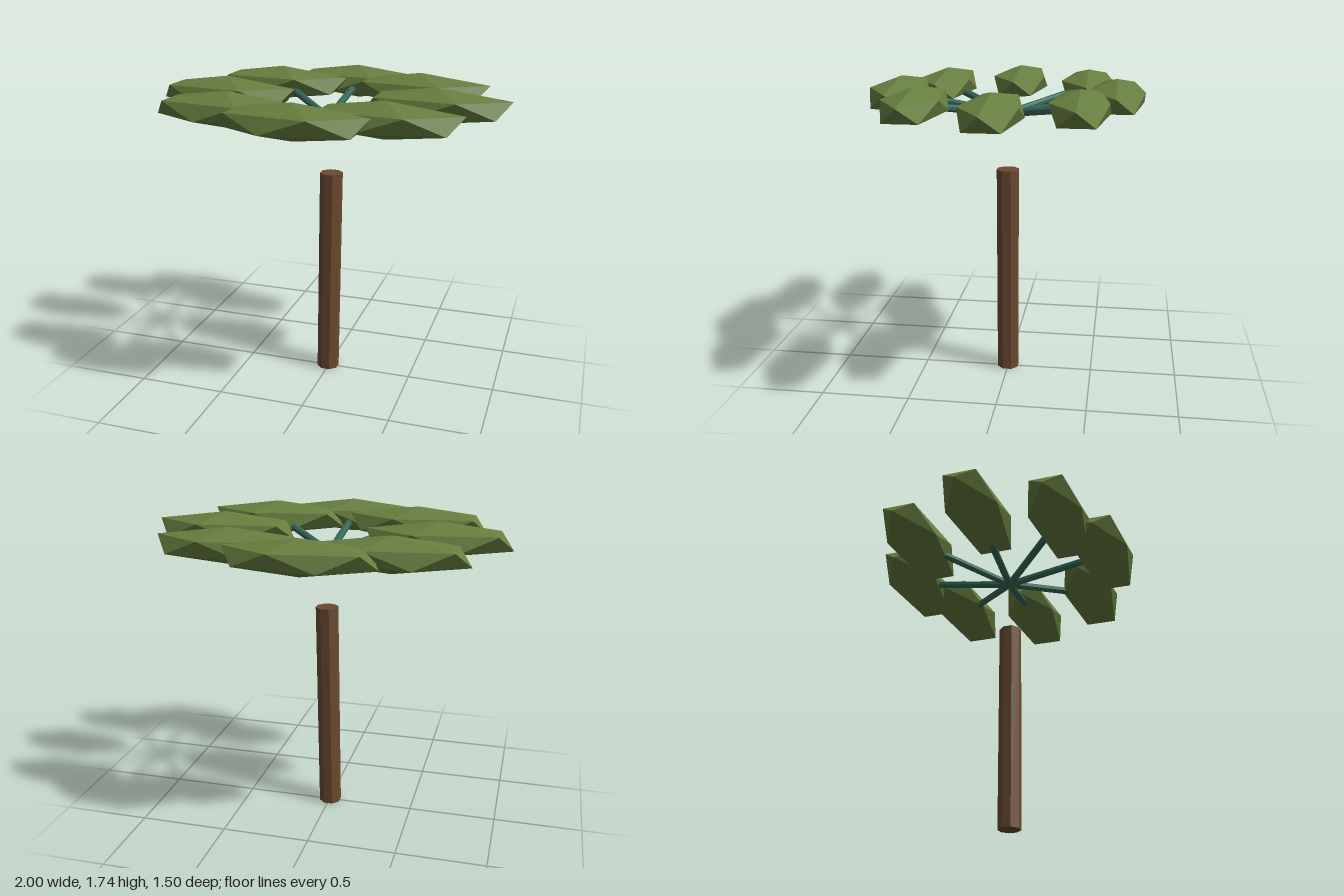
import * as THREE from 'three';
import { ConvexGeometry } from 'three/addons/geometries/ConvexGeometry.js';

const paint = (color) => new THREE.MeshStandardMaterial({ color, flatShading: true });

// Octagonal rod between two points
function rod(name, from, to, radius, material) {
  const dir = to.clone().sub(from);
  const geometry = new THREE.CylinderGeometry(radius, radius, dir.length(), 8, 1, false, Math.PI / 8);
  const mesh = new THREE.Mesh(geometry, material);
  mesh.name = name;
  mesh.position.copy(from).add(to).multiplyScalar(0.5);
  // lay the rod out along its heading, then pitch it
  mesh.rotation.order = 'YXZ';
  mesh.rotation.y = Math.atan2(dir.x, dir.z);
  mesh.rotation.x = Math.atan2(Math.hypot(dir.x, dir.z), dir.y);
  return mesh;
}

// Stretched icosahedron standing on a vertex: two poles and two staggered rings of five
function leafGeometry(rx, ry, rz) {
  const points = [new THREE.Vector3(0, ry, 0), new THREE.Vector3(0, -ry, 0)];
  for (let i = 0; i < 5; i++) {
    const a = (i * Math.PI * 2) / 5;
    const x = Math.cos(a) * rx;
    const z = Math.sin(a) * rz;
    points.push(new THREE.Vector3(x, ry * 0.447, z), new THREE.Vector3(-x, -ry * 0.447, -z));
  }
  return new ConvexGeometry(points);
}

export function createModel() {
  const model = new THREE.Group();
  model.name = 'tree';
  const bark = paint(0x6b4a32);
  const stem = paint(0x37695a);
  const green = paint(0x687f40);

  // Slightly leaning trunk
  const trunk = new THREE.Mesh(
    new THREE.CylinderGeometry(0.065, 0.065, 1.229, 8, 1, false, Math.PI / 8), bark);
  trunk.name = 'trunk';
  trunk.position.set(0.005, 0.615, 0);
  trunk.rotation.z = -0.0165;
  model.add(trunk);

  // Eight branches fanning out, each carrying a leaf that keeps the same heading
  const leafShape = leafGeometry(0.4, 0.0975, 0.159);
  const hub = new THREE.Vector3(0, 1.543, 0);
  for (let i = 0; i < 8; i++) {
    const a = (i * Math.PI) / 4;
    const tip = new THREE.Vector3(Math.cos(a) * 0.6, 1.647, Math.sin(a) * 0.6);
    model.add(rod('branch', hub, tip, 0.021, stem));
    const leaf = new THREE.Mesh(leafShape, green);
    leaf.name = 'leaf';
    leaf.position.copy(tip);
    model.add(leaf);
  }
  return model;
}
